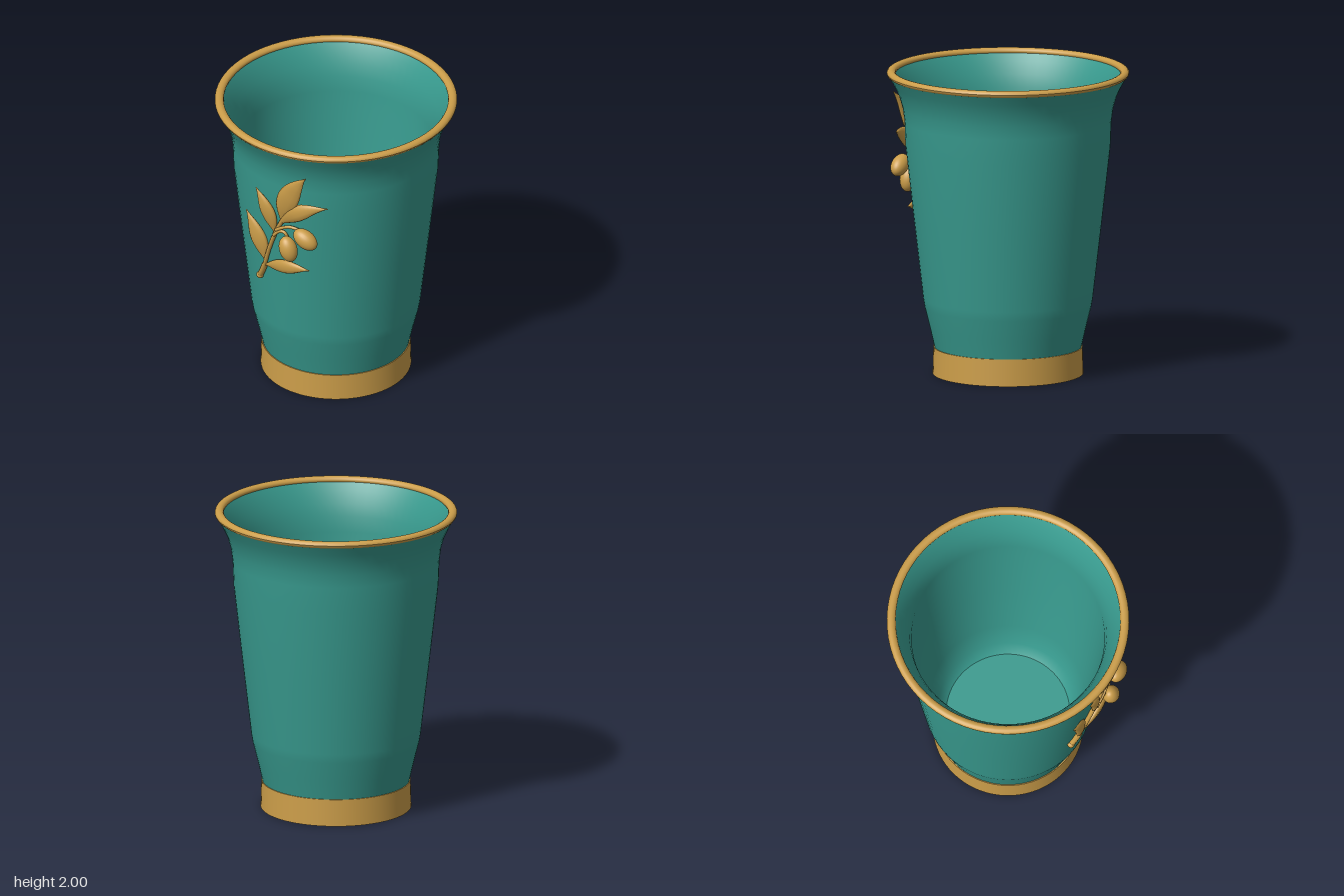
import * as THREE from 'three';

// Outer wall profile as [radius, height]
const OUTER = [
  [0.475, 0.17], [0.505, 0.3], [0.54, 0.44], [0.55, 0.5], [0.608, 1.0], [0.664, 1.5],
  [0.67, 1.66], [0.682, 1.75], [0.705, 1.83], [0.738, 1.9], [0.772, 1.96],
];
const INNER = [
  [0.735, 1.975], [0.7, 1.92], [0.665, 1.84], [0.64, 1.76], [0.625, 1.66], [0.618, 1.5],
  [0.56, 1.0], [0.5, 0.5], [0.455, 0.3], [0.4, 0.24],
];

const v2 = (list) => list.map(([x, y]) => new THREE.Vector2(x, y));

// Front surface depth of the cup at (x, y)
function wallZ(x, y) {
  let i = 0;
  while (i < OUTER.length - 2 && OUTER[i + 1][1] < y) i++;
  const [r0, y0] = OUTER[i], [r1, y1] = OUTER[i + 1];
  const r = r0 + (r1 - r0) * (y - y0) / (y1 - y0);
  return Math.sqrt(r * r - x * x);
}

// Pointed leaf: lens-shaped rings swept along a curved midline over the wall
function leafGeometry(base, ctrl, tip, width, lift) {
  const curve = new THREE.QuadraticBezierCurve(...v2([base, ctrl, tip]));
  const rows = 16, sides = 10, pos = [], idx = [];
  for (let i = 0; i <= rows; i++) {
    const t = i / rows, p = curve.getPoint(t), d = curve.getTangent(t);
    const s = Math.pow(Math.sin(Math.PI * Math.pow(t, 0.9)), 1.15);
    const w = Math.max(width * s, 0.009 * (1 - t) + 0.0005);
    const h = 0.006 + 0.016 * s;
    const z = wallZ(p.x, p.y) + 0.012 + (lift - 0.012) * t;
    for (let j = 0; j < sides; j++) {
      const a = j / sides * Math.PI * 2, u = Math.cos(a) * w;
      pos.push(p.x + d.y * u, p.y - d.x * u, z + Math.sin(a) * h);
      if (i < rows) {
        const q = i * sides + j, r = i * sides + (j + 1) % sides;
        idx.push(q, q + sides, r, r, q + sides, r + sides);
      }
    }
  }
  // Ring winding is reversed so the faces point outward
  for (let k = 0; k < idx.length; k += 3) [idx[k + 1], idx[k + 2]] = [idx[k + 2], idx[k + 1]];
  const g = new THREE.BufferGeometry();
  g.setAttribute('position', new THREE.Float32BufferAttribute(pos, 3));
  g.setIndex(idx);
  g.computeVertexNormals();
  return g;
}

export function createModel() {
  const teal = new THREE.MeshStandardMaterial({ color: 0x389a8e });
  teal.name = 'teal glaze';
  const gold = new THREE.MeshStandardMaterial({ color: 0xcb9d49 });
  gold.name = 'gold';
  const leafGold = gold.clone();
  leafGold.name = 'gold leaf';
  leafGold.side = THREE.DoubleSide;

  const model = new THREE.Group();
  model.name = 'cup';
  const add = (name, geometry, material, parent = model) => {
    const mesh = new THREE.Mesh(geometry, material);
    mesh.name = name;
    parent.add(mesh);
    return mesh;
  };
  const lathe = (points) => new THREE.LatheGeometry(v2(points), 72);

  // Body
  add('outerWall', lathe(OUTER), teal);
  add('innerWall', lathe(INNER), teal);
  const floor = add('innerFloor', new THREE.CircleGeometry(0.4, 72), teal);
  floor.rotation.x = -Math.PI / 2;
  floor.position.y = 0.24;

  // Rolled gold rim
  const rim = [];
  for (let i = 0; i <= 16; i++) {
    const a = i / 16 * Math.PI * 2;
    rim.push([0.756 + Math.cos(a) * 0.029, 1.977 + Math.sin(a) * 0.023]);
  }
  add('rim', lathe(rim), gold);

  // Gold foot band
  const foot = add('footBand', new THREE.CylinderGeometry(0.483, 0.488, 0.178, 72), gold);
  foot.position.y = 0.089;

  // Raised olive sprig
  const sprig = new THREE.Group();
  sprig.name = 'oliveSprig';
  model.add(sprig);

  const twig = (name, points, radius, lift) => {
    const path = new THREE.CatmullRomCurve3(
      points.map(([x, y]) => new THREE.Vector3(x, y, wallZ(x, y) + lift)));
    add(name, new THREE.TubeGeometry(path, 24, radius, 8), gold, sprig);
  };
  twig('stem', [[-0.27, 0.865], [-0.22, 0.97], [-0.165, 1.13], [-0.1, 1.29], [-0.035, 1.42]], 0.015, 0.015);
  twig('lowerStem', [[-0.272, 0.86], [-0.245, 0.91], [-0.21, 0.99]], 0.021, 0.014);
  twig('lowerStalk', [[-0.11, 1.27], [-0.06, 1.32], [-0.025, 1.325], [0, 1.29]], 0.011, 0.03);
  twig('upperStalk', [[-0.09, 1.32], [-0.03, 1.36], [0.03, 1.38], [0.09, 1.37]], 0.011, 0.03);
  const cut = add('stemEnd', new THREE.SphereGeometry(0.025, 14, 10), gold, sprig);
  cut.position.set(-0.27, 0.865, wallZ(-0.27, 0.865) + 0.014);

  const leaves = [
    ['topLeaf', [-0.05, 1.39], [-0.01, 1.63], [0.17, 1.82], 0.075, 0.06],
    ['rightLeaf', [-0.06, 1.37], [0.06, 1.55], [0.29, 1.58], 0.058, 0.06],
    ['upperLeftLeaf', [-0.11, 1.28], [-0.13, 1.46], [-0.235, 1.6], 0.053, 0.04],
    ['lowerLeftLeaf', [-0.205, 1.01], [-0.23, 1.2], [-0.345, 1.36], 0.06, 0.04],
    ['lowerRightLeaf', [-0.21, 0.98], [-0.02, 1.07], [0.145, 1.065], 0.05, 0.05],
  ];
  for (const [name, ...args] of leaves) add(name, leafGeometry(...args), leafGold, sprig);

  // Olives: [name, x, y, tilt]
  for (const [name, x, y, tilt] of [['lowerOlive', 0.022, 1.228, 0.3], ['upperOlive', 0.147, 1.335, 1.05]]) {
    const olive = add(name, new THREE.SphereGeometry(1, 28, 18), gold, sprig);
    olive.scale.set(0.06, 0.09, 0.056);
    olive.position.set(x, y, 0.706);
    olive.rotation.z = tilt;
  }
  return model;
}
